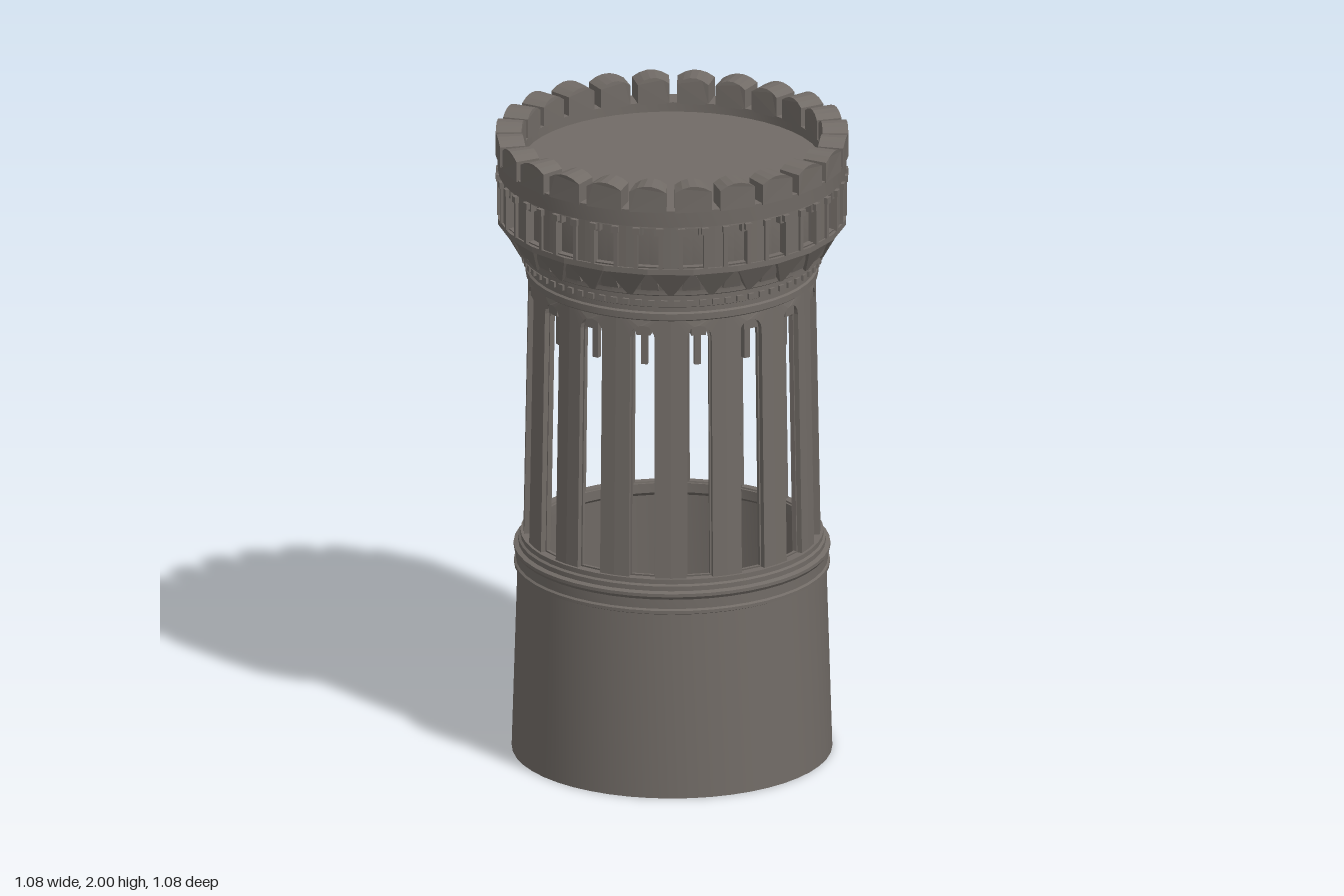
import * as THREE from 'three';
import { toCreasedNormals } from 'three/addons/utils/BufferGeometryUtils.js';

const stone = new THREE.MeshStandardMaterial({ name: 'stone', color: 0x716b66, side: THREE.DoubleSide });

// Wraps a flat piece round the tower: x runs along the ring, z is distance from the axis
function wrap(geometry, ringRadius, radiusAt = (y, z) => z) {
  const geo = geometry.index ? geometry.toNonIndexed() : geometry;
  const p = geo.attributes.position;
  for (let i = 0; i < p.count; i++) {
    const a = p.getX(i) / ringRadius;
    const r = radiusAt(p.getY(i), p.getZ(i));
    p.setXYZ(i, r * Math.sin(a), p.getY(i), r * Math.cos(a));
  }
  geo.computeVertexNormals();
  return geo;
}

function block(w, y0, y1, r0, r1) {
  return new THREE.BoxGeometry(w, y1 - y0, r1 - r0).translate(0, (y0 + y1) / 2, (r0 + r1) / 2);
}

function slab(shape, r0, r1) {
  return new THREE.ExtrudeGeometry(shape, { depth: r1 - r0, bevelEnabled: false, curveSegments: 5 }).translate(0, 0, r0);
}

// Rectangle with an optional hole, given as a list of points
function panel(w, y0, y1, holePoints) {
  const s = new THREE.Shape([[-w / 2, y0], [w / 2, y0], [w / 2, y1], [-w / 2, y1]].map(([x, y]) => new THREE.Vector2(x, y)));
  if (holePoints) s.holes.push(new THREE.Path(holePoints.map(([x, y]) => new THREE.Vector2(x, y))));
  return s;
}

// Round-headed window outline
function archPoints(half, y0, spring) {
  const pts = [[-half, y0], [half, y0]];
  for (let i = 0; i <= 8; i++) {
    const a = (i / 8) * Math.PI;
    pts.push([half * Math.cos(a), spring + half * Math.sin(a)]);
  }
  return pts;
}

export function createModel() {
  const tower = new THREE.Group();
  tower.name = 'tower';

  const lathe = (name, points) => {
    const geo = new THREE.LatheGeometry(points.map(([r, y]) => new THREE.Vector2(r, y)), 48);
    const mesh = new THREE.Mesh(toCreasedNormals(geo, 0.4), stone);
    mesh.name = name;
    tower.add(mesh);
  };
  const ring = (name, geo, count, offset = 0) => {
    const group = new THREE.Group();
    group.name = name + 'Ring';
    for (let i = 0; i < count; i++) {
      const mesh = new THREE.Mesh(geo, stone);
      mesh.name = name;
      mesh.rotation.y = ((i + offset) / count) * Math.PI * 2;
      group.add(mesh);
    }
    tower.add(group);
  };

  // Drum with its moulded band, open underneath
  lathe('base', [[0.49, 0], [0.472, 0.59], [0.483, 0.595], [0.483, 0.605], [0.477, 0.61], [0.477, 0.64],
    [0.484, 0.65], [0.484, 0.66], [0.47, 0.665], [0.47, 0.68], [0.463, 0.685], [0.463, 0.70],
    [0.42, 0.70], [0.42, 0.67], [0.455, 0.65], [0.487, 0]]);

  // Arcade: sixteen bays, an outer layer and a slightly narrower recessed frame
  const R = 0.44, bay = (2 * Math.PI * R) / 16;
  const taper = (y, z) => z - (y - 0.7) * 0.018;
  ring('arcadeBay', wrap(slab(panel(bay, 0.69, 1.56, archPoints(0.04, 0.70, 1.472)), 0.436, 0.454), R, taper), 16, 0.5);
  ring('windowFrame', wrap(slab(panel(bay * 0.72, 0.69, 1.56, archPoints(0.035, 0.705, 1.465)), 0.428, 0.438), R, taper), 16, 0.5);
  ring('innerPier', wrap(block(0.075, 0.25, 1.52, 0.416, 0.436), R, taper), 16);

  // Short pendants hanging inside each window head
  ring('pendant', block(0.02, 1.38, 1.485, 0.4, 0.418), 16, 0.5);
  ring('pendantBracket', block(0.045, 1.48, 1.53, 0.4, 0.435), 16, 0.5);

  // Cornice and flared wall, with the inner face closed back down
  lathe('cornice', [[0.41, 1.54], [0.44, 1.53], [0.447, 1.535], [0.447, 1.555], [0.441, 1.56], [0.441, 1.575],
    [0.452, 1.58], [0.452, 1.605], [0.464, 1.608], [0.464, 1.62], [0.472, 1.625], [0.472, 1.64],
    [0.505, 1.72], [0.505, 1.87], [0.42, 1.87], [0.42, 1.62], [0.41, 1.61], [0.41, 1.54]]);
  ring('dentil', block(0.02, 1.584, 1.602, 0.445, 0.46), 72);

  // Corbels: wedges that shrink to a point at the foot
  const r24 = 0.53, step = (2 * Math.PI * r24) / 24;
  const corbel = new THREE.BoxGeometry(1, 1, 1);
  const cp = corbel.attributes.position;
  for (let i = 0; i < cp.count; i++) {
    const top = cp.getY(i) > 0, outer = cp.getZ(i) > 0;
    cp.setXYZ(i, cp.getX(i) * (top ? step * 0.94 : 0.015), top ? 1.715 : 1.625,
      outer ? (top ? 0.53 : 0.478) : 0.45);
  }
  ring('corbel', wrap(corbel, r24), 24, 0.5);
  ring('corbelCap', wrap(block(step, 1.712, 1.73, 0.48, 0.536), r24), 24, 0.5);

  // Small leaf between neighbouring corbels
  const leaf = new THREE.Shape();
  leaf.moveTo(-0.03, 1.645);
  leaf.lineTo(0.03, 1.645);
  leaf.quadraticCurveTo(0.03, 1.685, 0, 1.712);
  leaf.quadraticCurveTo(-0.03, 1.685, -0.03, 1.645);
  ring('leaf', wrap(slab(leaf, 0.47, 0.487), r24, (y, z) => z + (y - 1.645) * 0.4), 24);

  // Gallery of niches with stepped heads and flanking shafts
  const niche = [[-0.035, 1.735], [0.035, 1.735], [0.035, 1.835], [0.018, 1.835], [0.018, 1.86],
    [-0.018, 1.86], [-0.018, 1.835], [-0.035, 1.835]];
  ring('nicheBay', wrap(slab(panel(step, 1.725, 1.88, niche), 0.495, 0.526), r24), 24);
  for (const s of [-1, 1]) {
    ring('nicheShaft', wrap(block(0.012, 1.73, 1.85, 0.515, 0.535).translate(s * 0.038, 0, 0), r24), 24);
    ring('shaftCapital', wrap(block(0.022, 1.842, 1.862, 0.515, 0.539).translate(s * 0.036, 0, 0), r24), 24);
  }

  // Parapet wall and roof deck
  lathe('parapet', [[0.50, 1.862], [0.532, 1.866], [0.535, 1.92], [0.46, 1.92], [0.46, 1.87]]);
  const deck = new THREE.Mesh(new THREE.CylinderGeometry(0.462, 0.462, 0.02, 48), stone);
  deck.name = 'roofDeck';
  deck.position.y = 1.88;
  tower.add(deck);

  // Merlons with gently arched tops, separated by narrow slits
  const half = step / 2 - 0.013;
  const merlon = new THREE.Shape();
  merlon.moveTo(-half, 1.915);
  merlon.lineTo(half, 1.915);
  merlon.lineTo(half, 1.98);
  merlon.quadraticCurveTo(0, 2.02, -half, 1.98);
  merlon.closePath();
  ring('merlon', wrap(slab(merlon, 0.46, 0.539), r24), 24);

  return tower;
}
